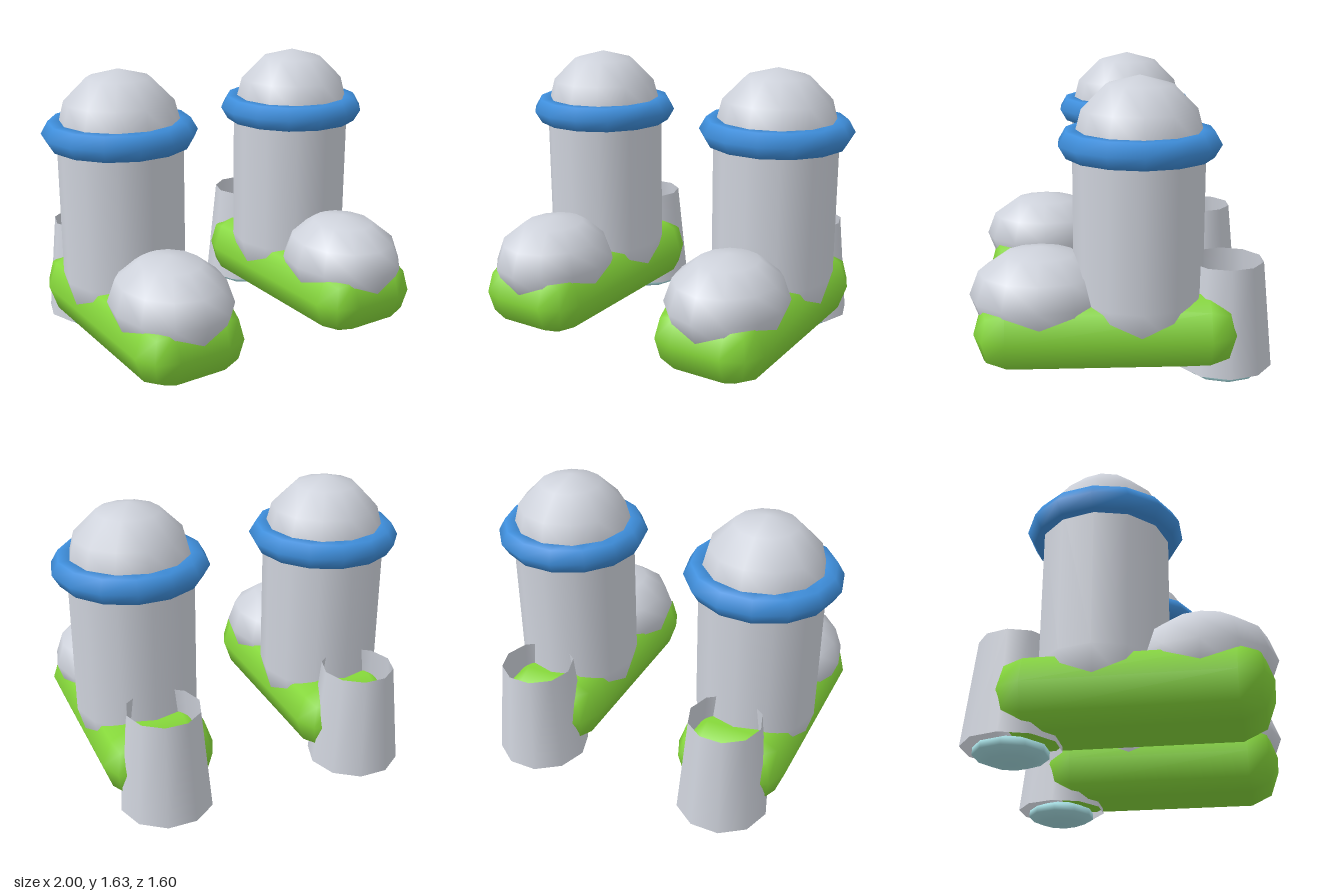
import * as THREE from 'three';
import { RoundedBoxGeometry } from 'three/addons/geometries/RoundedBoxGeometry.js';

function material(name, color, side = THREE.FrontSide) {
  const m = new THREE.MeshStandardMaterial({ color, side });
  m.name = name;
  return m;
}

export function createModel() {
  const grey = material('light grey', 0xced2db, THREE.DoubleSide);
  const green = material('lime green', 0x86d83a);
  const blue = material('bright blue', 0x3e8edb);
  const aqua = material('pale aqua', 0xa3d9de);

  function boot(name) {
    const group = new THREE.Group();
    group.name = name;
    const add = (part, geometry, mat, y, z) => {
      const mesh = new THREE.Mesh(geometry, mat);
      mesh.name = part;
      mesh.position.set(0, y, z);
      group.add(mesh);
    };

    // Shaft with domed top
    add('shaft', new THREE.CapsuleGeometry(0.343, 0.81, 3, 12), grey, 0.885, -0.093);

    // Hexagonal-section cuff ring
    add('cuff', new THREE.TorusGeometry(0.345, 0.078, 6, 14).rotateX(Math.PI / 2), blue, 1.291, -0.093);

    // Rounded toe cap
    add('toeCap', new THREE.SphereGeometry(1, 12, 6).scale(0.323, 0.26, 0.373), grey, 0.483, 0.425);

    // Soft rounded sole
    add('sole', new RoundedBoxGeometry(0.63, 0.34, 1.39, 1, 0.17).scale(1, 0.4 / 0.34, 1), green, 0.316, 0.075);

    // Open tapered nozzle at the heel
    add('heelNozzle', new THREE.CylinderGeometry(0.2, 0.2575, 0.575, 10, 1, true).rotateY(Math.PI / 2), grey, 0.3725, -0.555);

    // Glowing pad inside the nozzle mouth
    add('nozzleGlow', new THREE.SphereGeometry(1, 10, 5).scale(0.203, 0.063, 0.203), aqua, 0.063, -0.555);

    return group;
  }

  const model = new THREE.Group();
  model.name = 'boots';
  for (const [name, side] of [['leftBoot', 1], ['rightBoot', -1]]) {
    const b = boot(name);
    b.position.x = side * 0.577;
    model.add(b);
  }
  return model;
}
